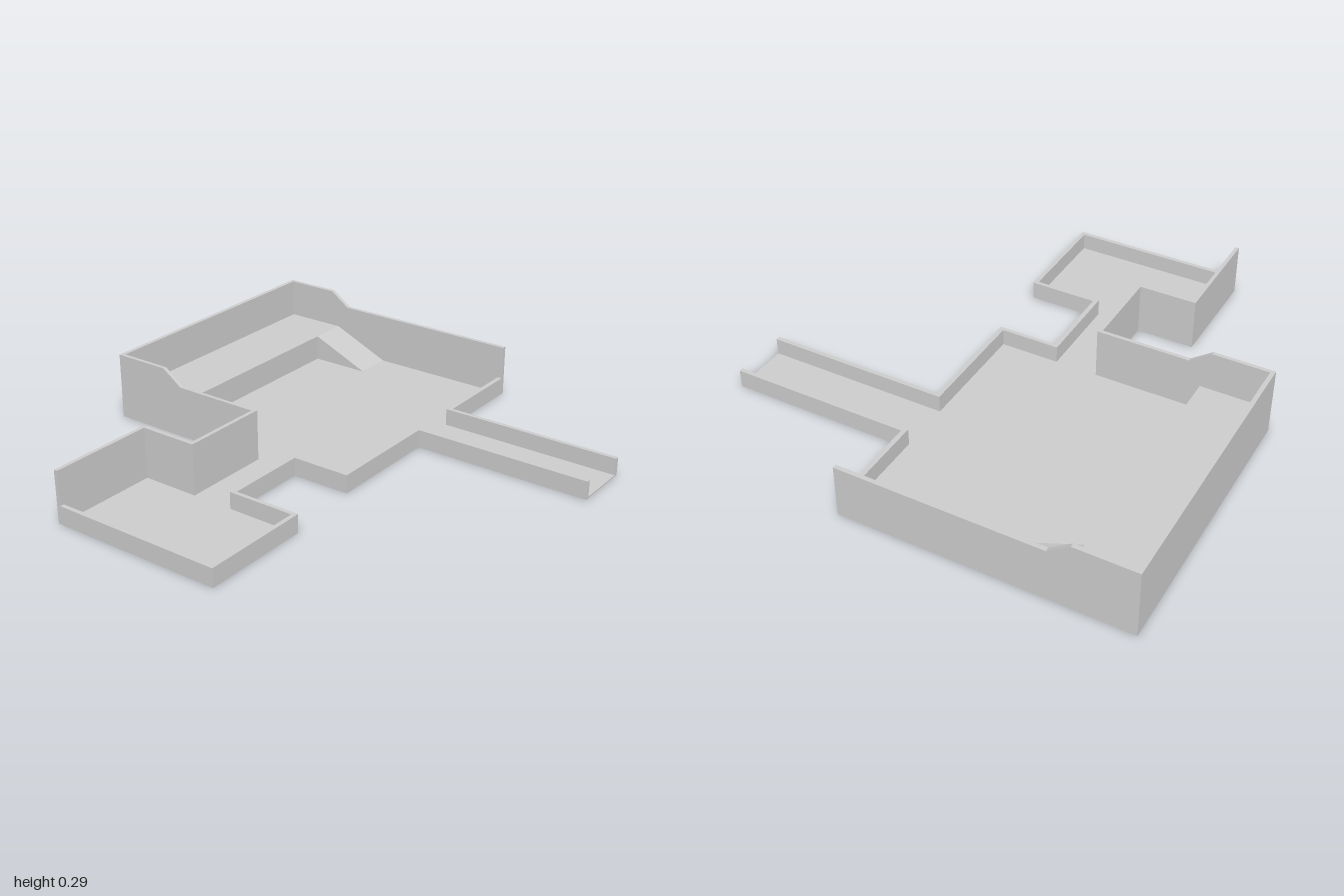
import * as THREE from 'three';

const FLOOR = 0.006; // slab thickness
const LOW = 0.078, TALL = 0.222, PEAK = 0.285; // wall tops
const STEP = 0.118; // raised platform height

const material = new THREE.MeshStandardMaterial({ color: 0xcccccc, flatShading: true });

const toShape = (pts) => new THREE.Shape(pts.map(([a, b]) => new THREE.Vector2(a, b)));

export function createModel() {
  const model = new THREE.Group();

  const add = (name, geometry) => {
    const mesh = new THREE.Mesh(geometry, material);
    mesh.name = name;
    model.add(mesh);
  };

  // Raise a plan outline of [x, z] points from y0 to y1
  const fromPlan = (name, pts, y0, y1) => {
    const g = new THREE.ExtrudeGeometry(toShape(pts.map(([x, z]) => [x, -z])),
      { depth: y1 - y0, bevelEnabled: false });
    add(name, g.rotateX(-Math.PI / 2).translate(0, y0, 0));
  };

  // Sweep a side profile of [z, y] points from x0 to x1
  const fromSide = (name, pts, x0, x1) => {
    const g = new THREE.ExtrudeGeometry(toShape(pts.map(([z, y]) => [-z, y])),
      { depth: x1 - x0, bevelEnabled: false });
    add(name, g.rotateY(Math.PI / 2).translate(x0, 0, 0));
  };

  // Floor slab: side room, link corridor, main hall and front corridor
  fromPlan('floor', [
    [-1, -0.5], [-0.53, -0.5], [-0.53, -0.255], [-0.18, -0.255], [-0.18, -0.97],
    [1, -0.97], [1, 0.21], [0.578, 0.21], [0.578, 0.97], [0.32, 0.97], [0.32, 0.21],
    [-0.18, 0.21], [-0.18, -0.04], [-0.53, -0.04], [-0.53, 0.248], [-1, 0.248],
  ], 0, FLOOR);

  // Low walls: side room round to the front corridor
  fromPlan('lowWallRight', [
    [-0.982, -0.484], [-0.982, 0.23], [-0.547, 0.23], [-0.547, -0.06], [-0.164, -0.06],
    [-0.164, 0.19], [0.338, 0.19], [0.338, 0.97],
    [0.32, 0.97], [0.32, 0.21], [-0.18, 0.21], [-0.18, -0.04], [-0.53, -0.04],
    [-0.53, 0.248], [-1, 0.248], [-1, -0.484],
  ], FLOOR, LOW);

  // Low walls: other side of the front corridor
  fromPlan('lowWallLeft', [
    [0.56, 0.97], [0.56, 0.19], [0.982, 0.19], [0.982, 0.21], [0.578, 0.21], [0.578, 0.97],
  ], FLOOR, LOW);

  // Tall wall behind the side room and link corridor
  fromPlan('tallSideRoomWall', [
    [-1, -0.5], [-0.53, -0.5], [-0.53, -0.255], [-0.18, -0.255],
    [-0.18, -0.238], [-0.547, -0.238], [-0.547, -0.484], [-1, -0.484],
  ], FLOOR, TALL);

  // Main hall side walls, stepping up towards the back
  const hallWall = (zFront) => [
    [zFront, FLOOR], [zFront, TALL], [-0.63, TALL], [-0.72, PEAK], [-0.97, PEAK], [-0.97, FLOOR],
  ];
  fromSide('hallWallRight', hallWall(-0.238), -0.18, -0.164);
  fromSide('hallWallLeft', hallWall(0.21), 0.982, 1);

  // Main hall back wall
  fromPlan('hallBackWall', [
    [-0.164, -0.97], [0.982, -0.97], [0.982, -0.952], [-0.164, -0.952],
  ], FLOOR, PEAK);

  // Raised platform and the ramp leading up to it
  fromPlan('platform', [
    [-0.164, -0.952], [0.982, -0.952], [0.982, -0.683], [-0.164, -0.683],
  ], FLOOR, STEP);
  fromSide('ramp', [[-0.683, FLOOR], [-0.683, STEP], [-0.423, FLOOR]], 0.818, 0.982);

  return model;
}
